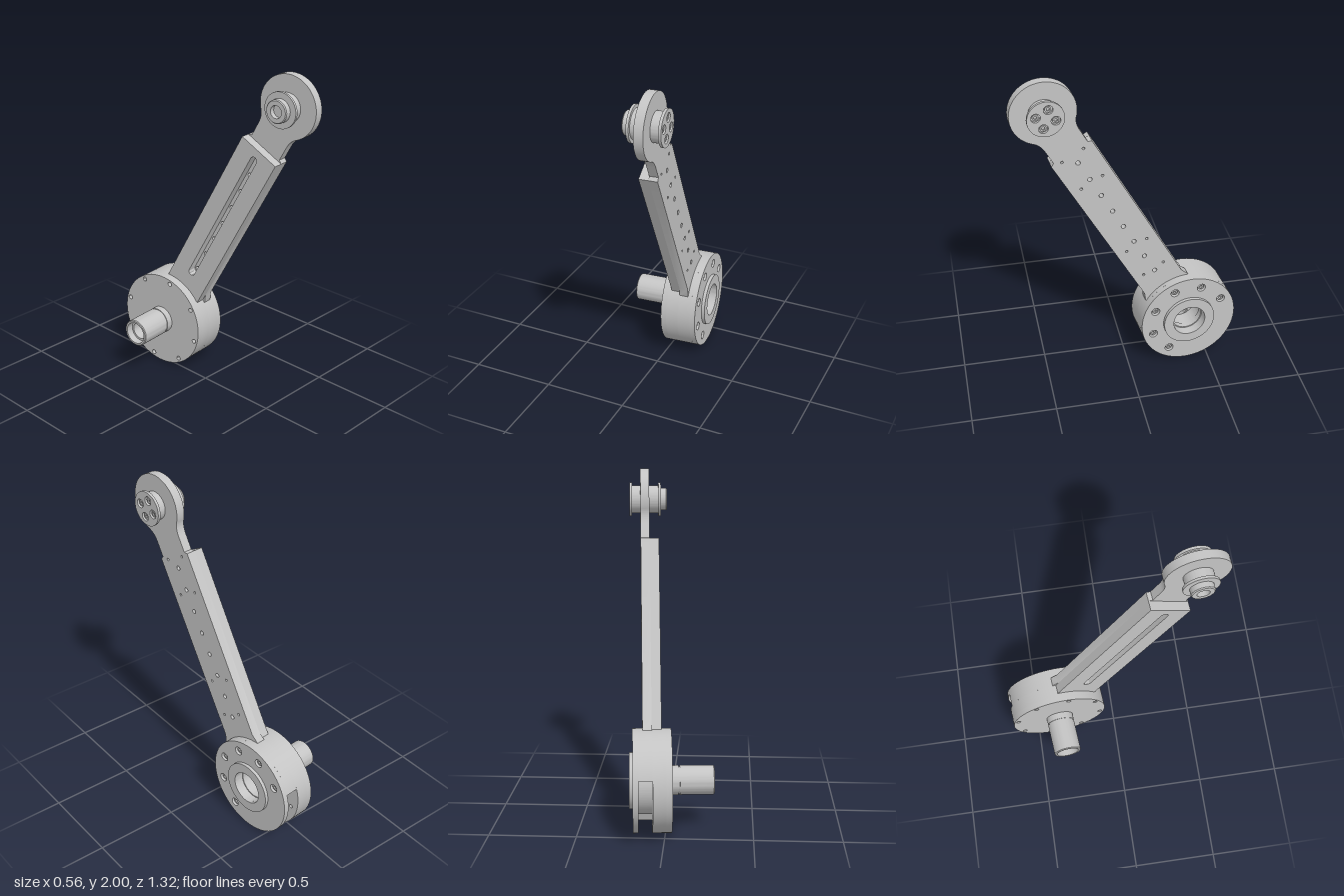
import * as THREE from 'three';
import { toCreasedNormals } from 'three/addons/utils/BufferGeometryUtils.js';

const steel = new THREE.MeshStandardMaterial({ color: 0xc4c4c4 });
steel.name = 'grey steel';

const polar = (r, a, cx = 0, cy = 0) => [cx + r * Math.cos(a), cy + r * Math.sin(a)];
const rad = THREE.MathUtils.degToRad;

function add(parent, name, geometry) {
  const mesh = new THREE.Mesh(toCreasedNormals(geometry, 0.6), steel);
  mesh.name = name;
  parent.add(mesh);
  return mesh;
}

function circle(r, x = 0, y = 0, Type = THREE.Path) {
  const p = new Type();
  p.absarc(x, y, r, 0, Math.PI * 2, false);
  return p;
}

// Plate lying in XY, running from z0 to z1
function plate(parent, name, shape, z0, z1, curveSegments = 36) {
  const g = new THREE.ExtrudeGeometry(shape, { depth: z1 - z0, bevelEnabled: false, curveSegments });
  g.translate(0, 0, z0);
  return add(parent, name, g);
}

// Turned part about Z, profile given as [radius, z]
function turned(parent, name, profile, x = 0, y = 0) {
  const g = new THREE.LatheGeometry(profile.map(p => new THREE.Vector2(...p)), 64);
  g.rotateX(Math.PI / 2).translate(x, y, 0);
  return add(parent, name, g);
}

// Screw head with a hexagonal socket
function screw(parent, name, r, x, y, z0, z1) {
  const s = circle(r, x, y, THREE.Shape);
  const hex = [...Array(6).keys()].map(i => new THREE.Vector2(...polar(r * 0.55, i * Math.PI / 3, x, y)));
  s.holes.push(new THREE.Path(hex));
  return plate(parent, name, s, z0, z1, 10);
}

function buildDrum(parent) {
  const drum = new THREE.Group();
  drum.name = 'drum';
  parent.add(drum);
  const R = 0.297, bore = 0.1;

  // Rear cover with small holes near the rim
  const rear = circle(R, 0, 0, THREE.Shape);
  rear.holes.push(circle(0.06));
  for (let i = 0; i < 8; i++) rear.holes.push(circle(0.014, ...polar(0.272, rad(15 + i * 45))));
  plate(drum, 'rearCover', rear, -0.11, -0.075);

  // Rear housing
  const housing = circle(R, 0, 0, THREE.Shape);
  housing.holes.push(circle(bore));
  for (const a of [-75, -15]) housing.holes.push(circle(0.012, ...polar(0.25, rad(a))));
  plate(drum, 'rearHousing', housing, -0.075, 0);

  // Middle layer, cut away by a window in the rim
  const a0 = rad(18), a1 = rad(250);
  const middle = new THREE.Shape();
  middle.absarc(0, 0, R, a0, a1, false);
  middle.lineTo(...polar(0.19, a1));
  middle.absarc(0, 0, 0.19, a1, a0 + Math.PI * 2, false);
  middle.closePath();
  middle.holes.push(circle(bore));
  plate(drum, 'windowLayer', middle, 0, 0.078);

  // Face cover with six countersunk screws
  const face = circle(R, 0, 0, THREE.Shape);
  face.holes.push(circle(bore));
  for (let i = 0; i < 6; i++) {
    const p = polar(0.233, rad(29 + i * 42));
    face.holes.push(circle(0.026, ...p));
    screw(drum, 'faceScrew', 0.018, ...p, 0.078, 0.1);
  }
  plate(drum, 'faceCover', face, 0.078, 0.11);

  // Raised collar round the bore
  turned(drum, 'boreCollar', [[bore, 0.1], [0.16, 0.1], [0.16, 0.13], [bore, 0.13], [bore, 0.1]]);
  turned(drum, 'boreStep', [[0.094, 0.03], [0.102, 0.03], [0.102, 0.07], [0.094, 0.07], [0.094, 0.03]]);

  // Hub deep inside the bore
  turned(drum, 'innerHub', [[0, -0.08], [0.101, -0.08], [0.101, -0.06], [0.05, -0.06], [0.05, -0.05], [0, -0.05]]);
  for (let i = 0; i < 4; i++) {
    screw(drum, 'hubScrew', 0.018, ...polar(0.07, rad(30 + i * 90)), -0.06, -0.045);
  }
  screw(drum, 'centreScrew', 0.028, 0, 0, -0.05, -0.03);

  // Hollow shaft with a groove
  turned(drum, 'shaft', [
    [0, -0.25], [0.055, -0.25], [0.055, -0.31], [0.068, -0.31], [0.068, -0.355], [0.079, -0.355],
    [0.084, -0.35], [0.084, -0.158], [0.08, -0.158], [0.08, -0.15], [0.084, -0.15], [0.084, -0.105],
  ]);
}

function buildArm(parent) {
  const arm = new THREE.Group();
  arm.name = 'arm';
  arm.rotation.z = 0.504;
  parent.add(arm);
  const w = 0.1315, top = 1.428, endY = 1.735, endR = 0.185;

  // Long plate with neck and round end
  const long = new THREE.Shape();
  long.moveTo(-0.15, 0.2);
  long.lineTo(0.15, 0.2);
  long.lineTo(0.15, 0.265);
  long.lineTo(w, 0.31);
  long.lineTo(w, top);
  long.lineTo(0.11, top + 0.012);
  long.lineTo(0.11, 1.53);
  long.quadraticCurveTo(0.11, 1.585, ...polar(endR, rad(-40), 0, endY));
  long.absarc(0, endY, endR, rad(-40), rad(220), false);
  long.quadraticCurveTo(-0.11, 1.585, -0.11, 1.53);
  long.lineTo(-0.11, top + 0.012);
  long.lineTo(-w, top);
  long.lineTo(-w, 0.31);
  long.lineTo(-0.15, 0.265);
  long.closePath();
  for (let i = 0; i < 8; i++) long.holes.push(circle(0.0135, 0, 1.357 - i * 0.1333));
  for (const y of [1.417, 1.2, 0.657, 0.44]) {
    for (const x of [-0.07, 0.07]) long.holes.push(circle(0.008, x, y));
  }
  plate(arm, 'longPlate', long, 0, 0.053, 24);

  // Backing bar with a long slot
  const bar = new THREE.Shape([[-w, 0.2], [w, 0.2], [w, top], [-w, top]].map(p => new THREE.Vector2(...p)));
  const slot = new THREE.Path();
  slot.absarc(0, 1.357, 0.022, 0, Math.PI, false);
  slot.absarc(0, 0.42, 0.022, Math.PI, Math.PI * 2, false);
  slot.closePath();
  bar.holes.push(slot);
  plate(arm, 'slottedBar', bar, -0.056, 0, 24);

  // Flanged roller through the round end
  turned(arm, 'rollerBody', [
    [0, -0.08], [0.036, -0.08], [0.036, -0.11], [0.062, -0.11], [0.067, -0.104], [0.067, -0.072],
    [0.103, -0.072], [0.103, -0.057], [0.084, -0.057], [0.084, 0.104], [0, 0.104],
  ], 0, endY);
  const flange = circle(0.103, 0, endY, THREE.Shape);
  for (let i = 0; i < 4; i++) {
    const p = polar(0.056, rad(46 + i * 90), 0, endY);
    flange.holes.push(circle(0.026, ...p));
    screw(arm, 'rollerScrew', 0.018, ...p, 0.104, 0.112);
  }
  plate(arm, 'rollerFlange', flange, 0.103, 0.119);
}

export function createModel() {
  const model = new THREE.Group();
  model.name = 'leverArm';

  // Working frame: Z along the drum axis, origin at the drum centre
  const frame = new THREE.Group();
  frame.name = 'assembly';
  frame.rotation.y = Math.PI / 2 + 0.085;
  frame.position.set(0.08, 0.297, -0.364);
  model.add(frame);

  buildDrum(frame);
  buildArm(frame);
  return model;
}
